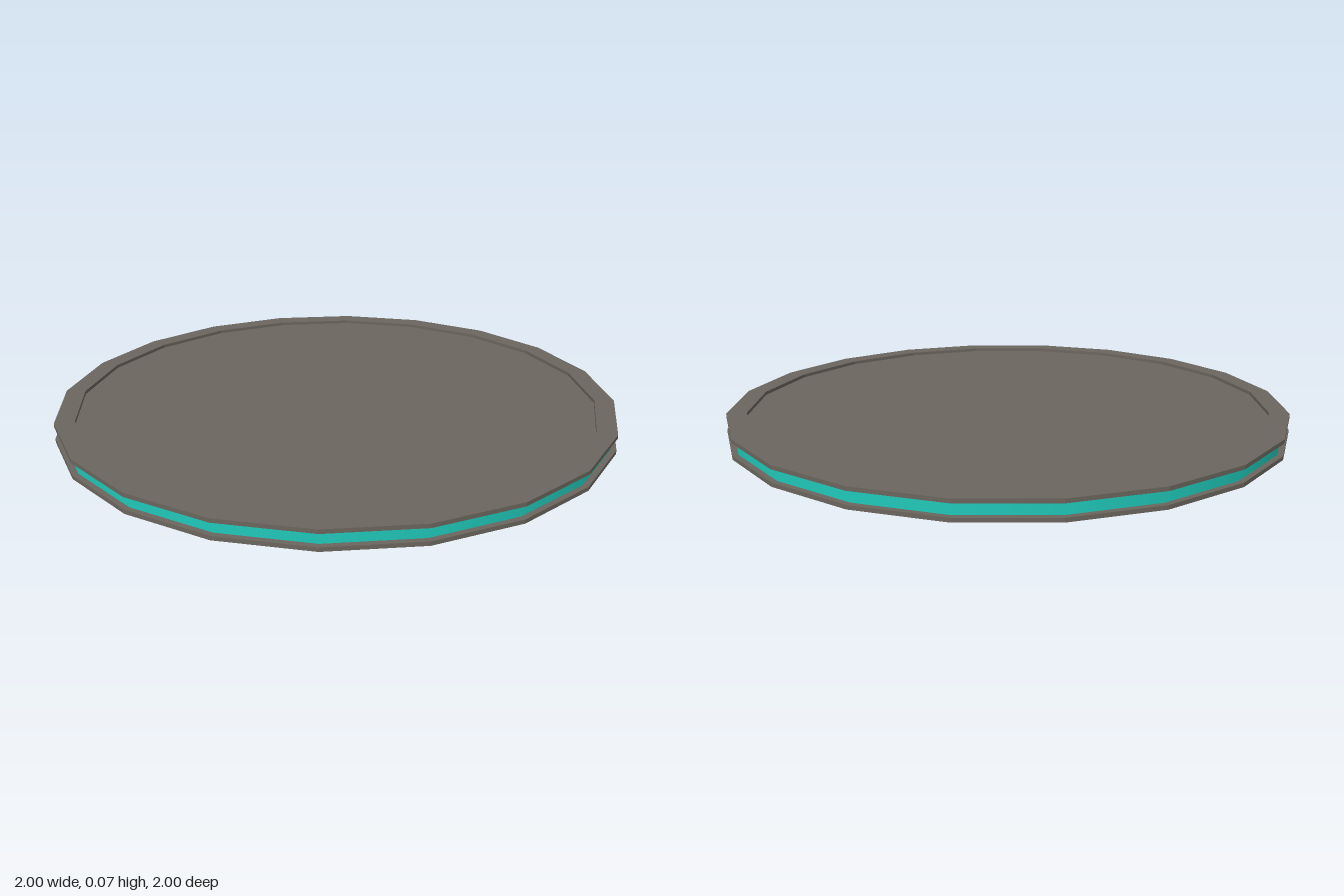
import * as THREE from 'three';

const SIDES = 20;

export function createModel() {
  const group = new THREE.Group();
  group.name = 'roundPad';

  const stone = new THREE.MeshStandardMaterial({ color: 0x6b665e, flatShading: true });
  stone.name = 'warm grey';
  const glow = new THREE.MeshStandardMaterial({ color: 0x20c9ba });
  glow.name = 'teal';

  // Profiles run from bottom to top so faces point outward
  const addTurned = (name, profile, material) => {
    const points = profile.map(([r, y]) => new THREE.Vector2(r, y));
    const mesh = new THREE.Mesh(new THREE.LatheGeometry(points, SIDES), material);
    mesh.name = name;
    group.add(mesh);
  };

  // Base plate with a shallow recess underneath
  addTurned('basePlate', [
    [0, 0.005], [0.93, 0.005], [0.93, 0], [1, 0], [1, 0.014], [0.96, 0.014],
  ], stone);

  // Teal band set back between the two plates
  addTurned('glowBand', [[0.98, 0.012], [0.98, 0.058]], glow);

  // Top plate with a raised rim around a sunken floor
  addTurned('topPlate', [
    [0.96, 0.056], [1, 0.056], [1, 0.07], [0.93, 0.07], [0.93, 0.058], [0, 0.058],
  ], stone);

  return group;
}
